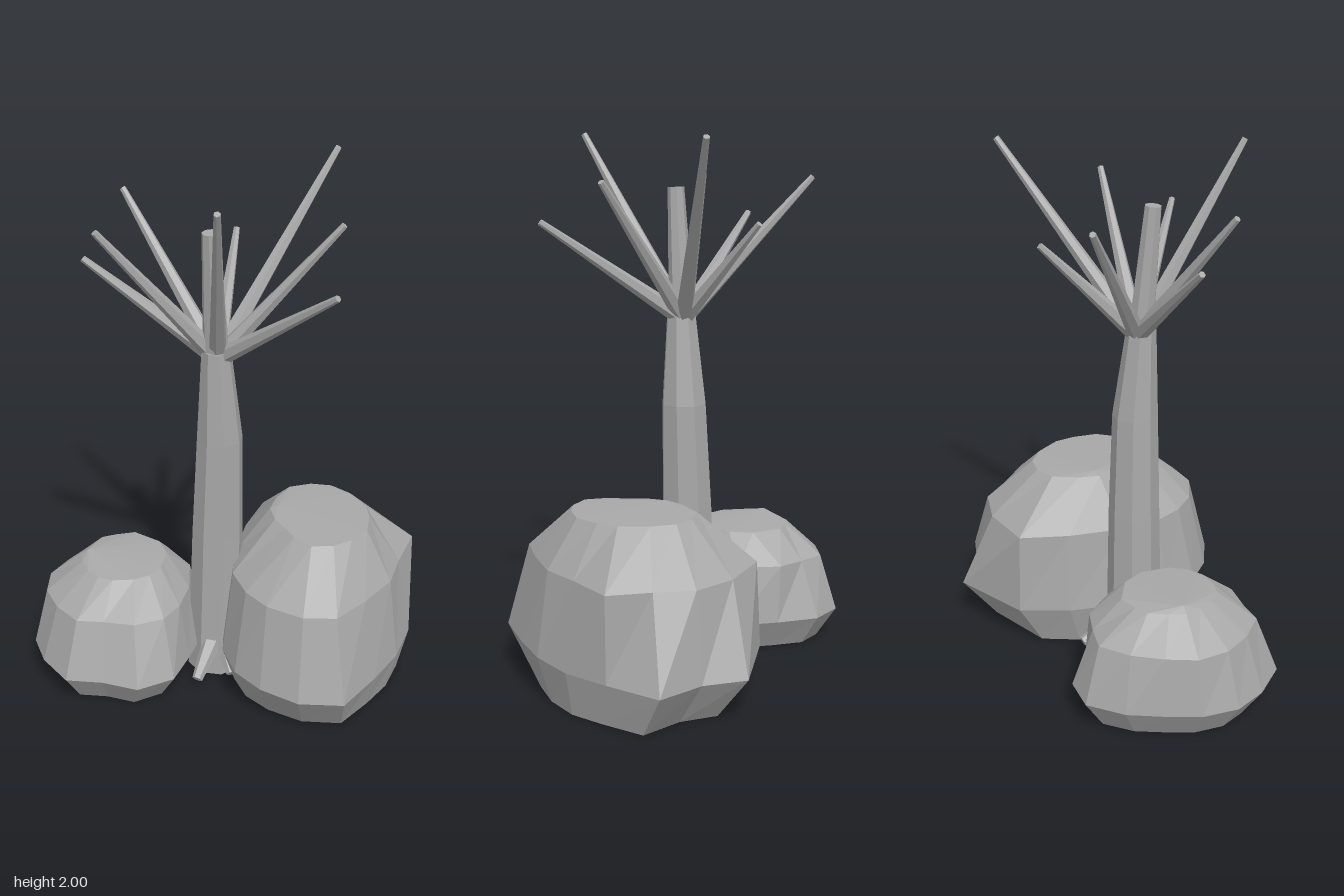
import * as THREE from 'three';

const stone = new THREE.MeshStandardMaterial({ color: 0xa8a8a8, flatShading: true });
stone.name = 'plain grey';

// Closed faceted skin through rings of [x, y, z] points (x to z order, bottom to top)
function skin(rings, bottom, top) {
  const n = rings[0].length, pos = [];
  const tri = (...pts) => pts.forEach(p => pos.push(...p));
  for (let j = 0; j < n; j++) {
    const k = (j + 1) % n;
    for (let i = 0; i < rings.length - 1; i++) {
      const lo = rings[i], hi = rings[i + 1];
      tri(lo[j], hi[j], lo[k]);
      tri(lo[k], hi[j], hi[k]);
    }
    tri(bottom, rings[0][j], rings[0][k]);
    tri(top, rings[rings.length - 1][k], rings[rings.length - 1][j]);
  }
  const g = new THREE.BufferGeometry();
  g.setAttribute('position', new THREE.Float32BufferAttribute(pos, 3));
  g.computeVertexNormals();
  return g;
}

// Level outline at height y from flat [x, z] pairs
const outline = (y, pairs) => pairs.map(([x, z]) => [x, y, z]);

function addMesh(parent, name, geometry) {
  const m = new THREE.Mesh(geometry, stone);
  m.name = name;
  parent.add(m);
  return m;
}

// Tapered six-sided stick between two points
function stick(parent, name, from, to, r0, r1, sides = 6) {
  const a = new THREE.Vector3(...from), b = new THREE.Vector3(...to);
  const d = b.clone().sub(a);
  const m = addMesh(parent, name, new THREE.CylinderGeometry(r1, r0, d.length(), sides));
  m.position.copy(a).add(b).multiplyScalar(0.5);
  m.quaternion.setFromUnitVectors(new THREE.Vector3(0, 1, 0), d.normalize());
}

// Boulder: footprint is the widest outline drawn in, then widest, shoulder and crown
function boulder(parent, name, foot, heights, wide, shoulder, crown, apex) {
  const base = wide.map(([x, z]) => [foot.x + (x - foot.x) * foot.sx, foot.z + (z - foot.z) * foot.sz]);
  const rings = [base, wide, shoulder, crown].map((r, i) => outline(heights[i], r));
  addMesh(parent, name, skin(rings, [foot.x, 0, foot.z], apex));
}

export function createModel() {
  const model = new THREE.Group();
  model.name = 'treeWithBoulders';

  boulder(model, 'largeBoulder', { x: 0.37, z: 0.04, sx: 0.89, sz: 0.76 }, [0, 0.17, 0.49, 0.67],
    [[0.725, -0.01], [0.69, 0.17], [0.62, 0.33], [0.525, 0.51], [0.36, 0.53], [0.21, 0.47], [0.1, 0.38],
      [0.03, 0.25], [0, 0.05], [0.02, -0.17], [0.08, -0.36], [0.36, -0.53], [0.5, -0.44], [0.68, -0.41], [0.71, -0.19]],
    [[0.67, 0], [0.65, 0.15], [0.57, 0.3], [0.48, 0.43], [0.36, 0.45], [0.22, 0.4], [0.13, 0.32],
      [0.06, 0.2], [0.04, 0.05], [0.05, -0.16], [0.09, -0.35], [0.3, -0.41], [0.47, -0.39], [0.58, -0.29], [0.71, -0.19]],
    [[0.55, 0], [0.55, 0.1], [0.5, 0.18], [0.44, 0.23], [0.36, 0.25], [0.29, 0.2], [0.25, 0.14],
      [0.2, 0.08], [0.17, 0], [0.18, -0.08], [0.22, -0.18], [0.3, -0.22], [0.38, -0.22], [0.46, -0.17], [0.53, -0.08]],
    [0.2, 0.68, -0.01]);

  boulder(model, 'smallBoulder', { x: -0.4, z: 0.1, sx: 0.77, sz: 0.8 }, [0, 0.12, 0.34, 0.45],
    [[-0.08, 0.1], [-0.1, 0.25], [-0.13, 0.4], [-0.25, 0.49], [-0.39, 0.47], [-0.53, 0.48], [-0.65, 0.37],
      [-0.72, 0.25], [-0.725, 0.11], [-0.69, 0], [-0.63, -0.15], [-0.53, -0.27], [-0.39, -0.28], [-0.25, -0.19], [-0.11, -0.08]],
    [[-0.13, 0.1], [-0.14, 0.23], [-0.18, 0.33], [-0.28, 0.39], [-0.4, 0.39], [-0.5, 0.4], [-0.6, 0.32],
      [-0.67, 0.22], [-0.69, 0.1], [-0.65, -0.01], [-0.59, -0.12], [-0.5, -0.21], [-0.39, -0.2], [-0.28, -0.18], [-0.16, -0.06]],
    [[-0.23, 0.1], [-0.23, 0.15], [-0.26, 0.21], [-0.31, 0.25], [-0.39, 0.27], [-0.45, 0.26], [-0.5, 0.22],
      [-0.54, 0.16], [-0.56, 0.1], [-0.54, 0.04], [-0.51, -0.03], [-0.46, -0.06], [-0.39, -0.09], [-0.28, -0.04], [-0.23, 0.04]],
    [-0.53, 0.47, 0.1]);

  // Trunk sections: y, centre x, centre z, radius
  const trunk = [[0, -0.03, 0.08, 0.11], [0.6, -0.02, 0.08, 0.098], [1, -0.01, 0.085, 0.086], [1.36, -0.018, 0.105, 0.054]];
  const rings = trunk.map(([y, x, z, r]) => Array.from({ length: 8 }, (_, i) => {
    const a = (i + 0.5) * Math.PI / 4;
    return [x + r * Math.cos(a), y, z + r * Math.sin(a)];
  }));
  addMesh(model, 'trunk', skin(rings, [-0.03, 0, 0.08], [-0.018, 1.36, 0.105]));

  // Central stub and spreading bare branches
  stick(model, 'centreStub', [-0.018, 1.3, 0.1], [-0.03, 1.805, 0.14], 0.05, 0.031, 8);
  const tips = [[0.35, 1.995, -0.33], [0.42, 1.84, 0.085], [0.435, 1.69, 0.38], [0.065, 1.995, 0.52],
    [-0.39, 1.84, 0.31], [-0.48, 1.69, 0.155], [-0.42, 1.84, -0.2], [-0.01, 1.69, -0.27]];
  for (const tip of tips) stick(model, 'branch', [-0.015, 1.32, 0.09], tip, 0.034, 0.012);

  // Short roots at the foot of the trunk
  const roots = [[[-0.02, 0.16, 0.12], [-0.065, 0.04, 0.28]], [[0, 0.14, 0.1], [0.06, 0.04, 0.22]],
    [[-0.05, 0.17, 0.05], [-0.09, 0.09, -0.15]]];
  for (const [from, to] of roots) stick(model, 'root', from, to, 0.045, 0.02);

  return model;
}
